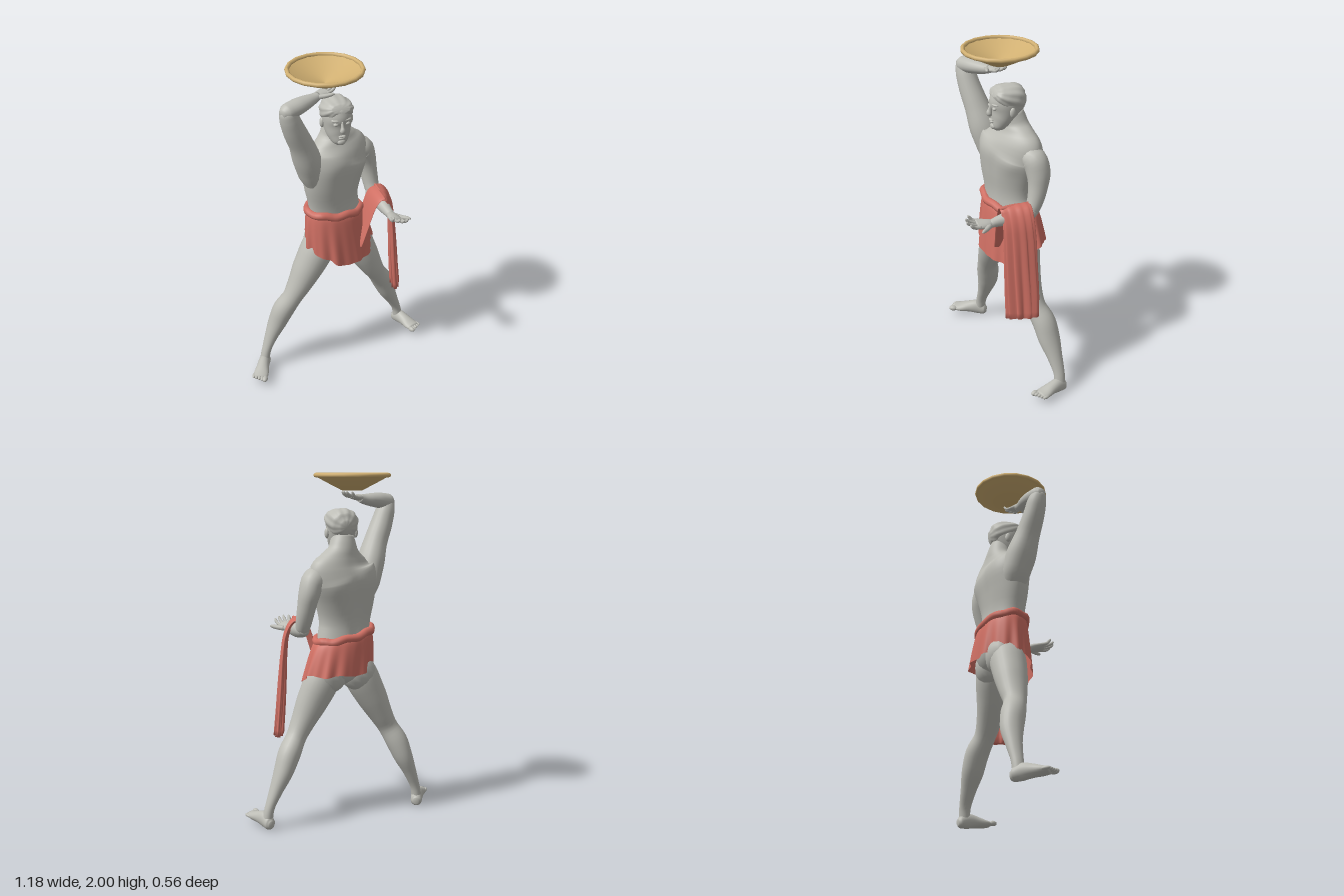
import * as THREE from 'three';

const V3 = (x, y, z) => new THREE.Vector3(x, y, z);
const TAU = Math.PI * 2;
const bump = (x, c, w) => Math.exp(-(((x - c) / w) ** 2));
// body axes: the trunk is turned a little towards its own left
const ACROSS = V3(0.93, 0, -0.37), BACK = V3(-0.37, 0, -0.93);
const X = V3(1, 0, 0), Z = V3(0, 0, 1);

// closed skin over nu x nv points, optionally capped at both ends
function skin(nu, nv, fn, capped) {
  const pos = [], idx = [];
  for (let i = 0; i <= nv; i++)
    for (let j = 0; j < nu; j++) pos.push(...fn(j / nu, i / nv).toArray());
  for (let i = 0; i < nv; i++)
    for (let j = 0; j < nu; j++) {
      const a = i * nu + j, b = i * nu + (j + 1) % nu;
      idx.push(a, b, b + nu, a, b + nu, a + nu);
    }
  if (capped) for (const row of [0, nv]) {
    const c = V3(0, 0, 0), n = pos.length / 3;
    for (let j = 0; j < nu; j++) c.add(V3().fromArray(pos, (row * nu + j) * 3));
    pos.push(...c.divideScalar(nu).toArray());
    for (let j = 0; j < nu; j++) {
      const a = row * nu + j, b = row * nu + (j + 1) % nu;
      if (row) idx.push(n, a, b); else idx.push(n, b, a);
    }
  }
  const g = new THREE.BufferGeometry();
  g.setAttribute('position', new THREE.Float32BufferAttribute(pos, 3));
  g.setIndex(idx);
  g.computeVertexNormals();
  return g;
}

// elliptical sections along a smooth path; rows are [x, y, z, radius along ref, other radius]
function loft(rows, ref = X, nu = 20, swell = () => 1) {
  const path = new THREE.CatmullRomCurve3(rows.map(r => V3(r[0], r[1], r[2])));
  const size = new THREE.CatmullRomCurve3(rows.map(r => V3(r[3], r[4], 0)));
  return skin(nu, (rows.length - 1) * 4, (u, s) => {
    const th = u * TAU, t = path.getTangent(s), r = size.getPoint(s), k = swell(th, s);
    const a = ref.clone().addScaledVector(t, -ref.dot(t)).normalize();
    const b = t.clone().cross(a);
    return path.getPoint(s).addScaledVector(a, Math.cos(th) * r.x * k).addScaledVector(b, Math.sin(th) * r.y * k);
  }, true);
}

export function createModel() {
  const model = new THREE.Group();
  const mat = (name, color, side = THREE.FrontSide) => {
    const m = new THREE.MeshStandardMaterial({ color, side });
    m.name = name;
    return m;
  };
  const stone = mat('grey stone', 0xbdbdb6);
  const cloth = mat('red cloth', 0xd07064, THREE.DoubleSide);
  const gold = mat('dull gold', 0xd1b072, THREE.DoubleSide);
  const add = (name, geo, m = stone, parent = model) => {
    const mesh = new THREE.Mesh(geo, m);
    mesh.name = name;
    parent.add(mesh);
    return mesh;
  };
  const ball = (name, p, s, parent = model) => {
    const mesh = add(name, new THREE.SphereGeometry(1, 16, 12), stone, parent);
    mesh.position.set(...p);
    mesh.scale.set(...s);
    return mesh;
  };

  // trunk and neck, with chest muscles, shoulder blades and spine furrow
  add('torso', loft([
    [0.012, 0.8, -0.1, 0.03, 0.035], [0.01, 0.86, -0.112, 0.14, 0.1], [0, 0.94, -0.11, 0.18, 0.12],
    [0, 1.04, -0.095, 0.172, 0.112], [-0.01, 1.14, -0.088, 0.168, 0.106], [-0.012, 1.28, -0.088, 0.198, 0.122],
    [0, 1.4, -0.098, 0.222, 0.134], [0.015, 1.47, -0.105, 0.215, 0.112], [0.012, 1.53, -0.11, 0.152, 0.085],
    [0.008, 1.58, -0.11, 0.088, 0.074], [0.006, 1.65, -0.095, 0.062, 0.066],
  ], ACROSS, 56, (th, s) => 1
    - 0.09 * bump(th, Math.PI / 2, 0.18) * bump(s, 0.5, 0.22)
    + 0.04 * (bump(th, 0.95, 0.3) + bump(th, 2.19, 0.3)) * bump(s, 0.6, 0.1)
    + 0.06 * (bump(th, 4.22, 0.33) + bump(th, 5.2, 0.33)) * bump(s, 0.585, 0.07)
    - 0.03 * bump(th, 4.71, 0.12) * bump(s, 0.5, 0.15)));
  ball('leftButtock', [0.1, 0.865, -0.145], [0.108, 0.115, 0.088]);
  ball('rightButtock', [-0.08, 0.865, -0.112], [0.108, 0.115, 0.088]);

  // head
  const head = new THREE.Group();
  head.name = 'head';
  head.position.x = 0.005;
  model.add(head);
  add('skull', loft([
    [0, 1.542, -0.002, 0.018, 0.016], [0, 1.558, -0.01, 0.042, 0.036], [0, 1.6, -0.035, 0.067, 0.064],
    [0, 1.65, -0.058, 0.08, 0.088], [0, 1.7, -0.068, 0.086, 0.1], [0, 1.745, -0.075, 0.083, 0.095],
    [0, 1.785, -0.08, 0.055, 0.06], [0, 1.8, -0.08, 0.02, 0.02],
  ], X, 32), stone, head);
  add('hair', loft([
    [0, 1.768, 0.012, 0.05, 0.022], [0, 1.757, -0.008, 0.078, 0.047], [0, 1.738, -0.05, 0.092, 0.07],
    [0, 1.72, -0.1, 0.091, 0.084], [0, 1.703, -0.145, 0.074, 0.072], [0, 1.697, -0.175, 0.03, 0.034],
  ], X, 60, th => 1 + 0.03 * Math.cos(11 * th)), stone, head);
  add('nose', loft([
    [0, 1.695, 0.02, 0.007, 0.012], [0, 1.665, 0.031, 0.009, 0.014],
    [0, 1.645, 0.037, 0.016, 0.016], [0, 1.633, 0.027, 0.011, 0.011],
  ], X, 14), stone, head);
  ball('upperLip', [0, 1.606, 0.025], [0.022, 0.006, 0.011], head);
  ball('lowerLip', [0, 1.595, 0.022], [0.019, 0.007, 0.011], head);
  ball('chin', [0, 1.566, 0.014], [0.024, 0.018, 0.014], head);
  for (const s of [-1, 1]) {
    ball('eye', [s * 0.034, 1.68, 0.018], [0.015, 0.01, 0.012], head);
    ball('brow', [s * 0.034, 1.703, 0.014], [0.027, 0.008, 0.014], head).rotation.y = s * 0.3;
    ball('ear', [s * 0.086, 1.663, -0.072], [0.013, 0.03, 0.018], head);
  }

  // hand: points along +z, palm up, thumb on the given side
  const hand = (name, side) => {
    const g = new THREE.Group();
    g.name = name;
    add('palm', loft([
      [0, 0, -0.015, 0.022, 0.018], [0, 0, 0.03, 0.034, 0.02],
      [0, 0, 0.07, 0.039, 0.016], [0, 0.003, 0.09, 0.034, 0.011],
    ], X, 16), stone, g);
    [0.138, 0.152, 0.15, 0.13].forEach((len, i) => {
      const x = side * (1.5 - i) * 0.019;
      add('finger', loft([[x, 0, 0.07, 0.01, 0.01], [x * 1.2, 0.003, 0.105, 0.0095, 0.0095],
        [x * 1.35, 0.014, len - 0.012, 0.009, 0.009], [x * 1.35, 0.026, len, 0.005, 0.005]], X, 8), stone, g);
    });
    add('thumb', loft([[side * 0.018, 0, 0.015, 0.016, 0.016], [side * 0.05, 0.004, 0.045, 0.013, 0.013],
      [side * 0.074, 0.01, 0.07, 0.01, 0.01], [side * 0.084, 0.012, 0.082, 0.005, 0.005]], X, 8), stone, g);
    g.rotation.order = 'YXZ';
    model.add(g);
    return g;
  };

  // left arm, bent forward
  add('leftUpperArm', loft([
    [0.13, 1.42, -0.13, 0.05, 0.055], [0.19, 1.41, -0.16, 0.07, 0.072], [0.222, 1.34, -0.175, 0.062, 0.07],
    [0.238, 1.26, -0.168, 0.053, 0.058], [0.248, 1.18, -0.148, 0.047, 0.048],
    [0.252, 1.125, -0.125, 0.04, 0.042], [0.252, 1.1, -0.115, 0.018, 0.02],
  ]));
  add('leftForearm', loft([
    [0.252, 1.125, -0.16, 0.022, 0.025], [0.252, 1.122, -0.13, 0.042, 0.042], [0.255, 1.115, -0.06, 0.045, 0.047],
    [0.26, 1.108, 0.01, 0.041, 0.043], [0.264, 1.1, 0.08, 0.03, 0.032], [0.27, 1.096, 0.135, 0.024, 0.021],
  ]));
  const openHand = hand('leftHand', 1);
  openHand.position.set(0.27, 1.096, 0.125);
  openHand.rotation.set(-0.16, 0, -0.25);
  openHand.scale.setScalar(1.05);

  // right arm, raised with the palm under the bowl
  add('rightUpperArm', loft([
    [-0.14, 1.26, -0.055, 0.06, 0.035], [-0.165, 1.37, -0.04, 0.085, 0.07], [-0.192, 1.48, -0.012, 0.09, 0.08],
    [-0.234, 1.6, 0.02, 0.073, 0.069], [-0.278, 1.7, 0.045, 0.065, 0.064], [-0.307, 1.78, 0.06, 0.058, 0.056],
    [-0.322, 1.83, 0.07, 0.045, 0.044], [-0.328, 1.858, 0.072, 0.018, 0.018],
  ], Z));
  add('rightForearm', loft([
    [-0.358, 1.83, 0.085, 0.022, 0.022], [-0.325, 1.832, 0.07, 0.048, 0.046], [-0.26, 1.84, 0.042, 0.052, 0.045],
    [-0.2, 1.845, 0.015, 0.045, 0.038], [-0.15, 1.85, -0.005, 0.032, 0.029], [-0.12, 1.857, -0.018, 0.027, 0.023],
  ], Z));
  const bearer = hand('rightHand', -1);
  bearer.position.set(-0.14, 1.856, -0.008);
  bearer.rotation.set(-0.12, 2.03, 0);
  bearer.scale.setScalar(0.92);

  // legs, set wide apart
  add('rightLeg', loft([
    [-0.07, 0.94, -0.08, 0.09, 0.08], [-0.118, 0.82, -0.075, 0.105, 0.102], [-0.187, 0.69, -0.07, 0.095, 0.09],
    [-0.246, 0.58, -0.066, 0.078, 0.069], [-0.292, 0.5, -0.066, 0.064, 0.059], [-0.337, 0.42, -0.084, 0.069, 0.065],
    [-0.377, 0.32, -0.098, 0.064, 0.056], [-0.422, 0.22, -0.095, 0.046, 0.039],
    [-0.461, 0.12, -0.085, 0.034, 0.028], [-0.475, 0.05, -0.08, 0.033, 0.03],
  ], Z, 24));
  add('leftLeg', loft([
    [0.09, 0.94, -0.11, 0.1, 0.08], [0.138, 0.82, -0.122, 0.1, 0.102], [0.2, 0.69, -0.118, 0.088, 0.09],
    [0.256, 0.58, -0.125, 0.073, 0.069], [0.3, 0.5, -0.143, 0.063, 0.059], [0.347, 0.42, -0.176, 0.07, 0.065],
    [0.388, 0.32, -0.195, 0.066, 0.056], [0.436, 0.22, -0.212, 0.047, 0.039],
    [0.479, 0.12, -0.225, 0.034, 0.028], [0.492, 0.05, -0.225, 0.033, 0.03],
  ], Z, 24));

  // feet: point along +z, big toe on the inner side
  for (const [name, side, p, yaw, k] of [
    ['rightFoot', 1, [-0.475, 0, -0.08], -0.46, 1.1], ['leftFoot', -1, [0.492, 0, -0.225], 0.34, 1.07]]) {
    const foot = new THREE.Group();
    foot.name = name;
    add('instep', loft([
      [0, 0.035, -0.038, 0.014, 0.018], [0, 0.035, -0.022, 0.03, 0.033], [0, 0.045, 0.02, 0.032, 0.043],
      [0, 0.042, 0.07, 0.035, 0.034], [0, 0.034, 0.12, 0.042, 0.023], [0, 0.032, 0.155, 0.039, 0.015],
    ], X, 20), stone, foot);
    [0.015, 0.0105, 0.01, 0.0095, 0.009].forEach((r, i) =>
      ball('toe', [side * (0.03 - i * 0.0168), 0.033, 0.165 - i * 0.006], [r, r, 0.024], foot));
    foot.position.set(...p);
    foot.rotation.set(-0.08, yaw, 0, 'YXZ');
    foot.scale.setScalar(k);
    model.add(foot);
  }

  // loincloth: flared skirt with a low front hem, and a rolled waistband
  const around = (th, a, b, x, y, z) => V3(x, y, z)
    .addScaledVector(ACROSS, Math.cos(th) * a).addScaledVector(BACK, Math.sin(th) * b);
  const waistY = th => 1.08 - 0.03 * Math.cos(th);
  add('loincloth', skin(120, 16, (u, v) => {
    const th = u * TAU, d = 1 - v, front = Math.max(0, Math.cos(th - 4.8));
    const hem = 0.865 - 0.112 * front ** 1.3 + 0.006 * Math.sin(7 * th);
    const k = 1 + d * (0.032 * Math.sin(11 * th) + 0.022 * Math.sin(17 * th + 1));
    const f = Math.sqrt(d);
    return around(th, (0.178 + 0.05 * f) * k, (0.12 + 0.042 * f) * k, 0.03 * d, waistY(th) * v + hem * d, -0.095);
  }), cloth);
  const band = Array.from({ length: 32 }, (_, i) => {
    const th = i / 32 * TAU, k = 1 + 0.015 * Math.sin(9 * th);
    return around(th, 0.178 * k, 0.12 * k, -0.005, waistY(th) + 0.005 * Math.sin(7 * th), -0.093);
  });
  add('waistband', new THREE.TubeGeometry(new THREE.CatmullRomCurve3(band, true), 96, 0.024, 10, true), cloth);

  // drape over the left forearm: a thin inner fall and a pleated, slanting outer fall
  add('drapeInner', loft([
    [0.12, 0.85, -0.01, 0.06, 0.006], [0.16, 0.99, -0.015, 0.075, 0.007], [0.2, 1.115, -0.02, 0.085, 0.009],
    [0.23, 1.16, -0.02, 0.088, 0.011], [0.262, 1.172, -0.02, 0.089, 0.012],
  ], Z, 40), cloth);
  add('drapeOuter', loft([
    [0.25, 1.172, -0.02, 0.089, 0.012], [0.285, 1.155, -0.02, 0.089, 0.014], [0.318, 1.09, -0.02, 0.09, 0.015],
    [0.335, 0.98, -0.022, 0.094, 0.017], [0.347, 0.82, -0.024, 0.097, 0.021], [0.36, 0.65, -0.027, 0.1, 0.023],
    [0.372, 0.5, -0.026, 0.097, 0.024],
  ], V3(-0.3, 0, 0.95), 80, (th, s) => 1 + (0.05 + 0.25 * s) * Math.sin(th) ** 2 * Math.cos(11 * th + 3 * s)), cloth);

  // shallow bowl with a thick rim
  const bowl = new THREE.Group();
  bowl.name = 'bowl';
  bowl.position.set(-0.065, 0, -0.055);
  model.add(bowl);
  const profile = [[0, 1.9], [0.06, 1.902], [0.13, 1.938], [0.205, 1.978], [0.207, 1.99], [0.197, 1.984], [0.1, 1.937], [0, 1.906]];
  add('dish', new THREE.LatheGeometry(profile.map(p => new THREE.Vector2(...p)), 24), gold, bowl);
  const rim = add('rim', new THREE.TorusGeometry(0.208, 0.013, 8, 18), gold, bowl);
  rim.rotation.x = Math.PI / 2;
  rim.position.y = 1.987;
  return model;
}
